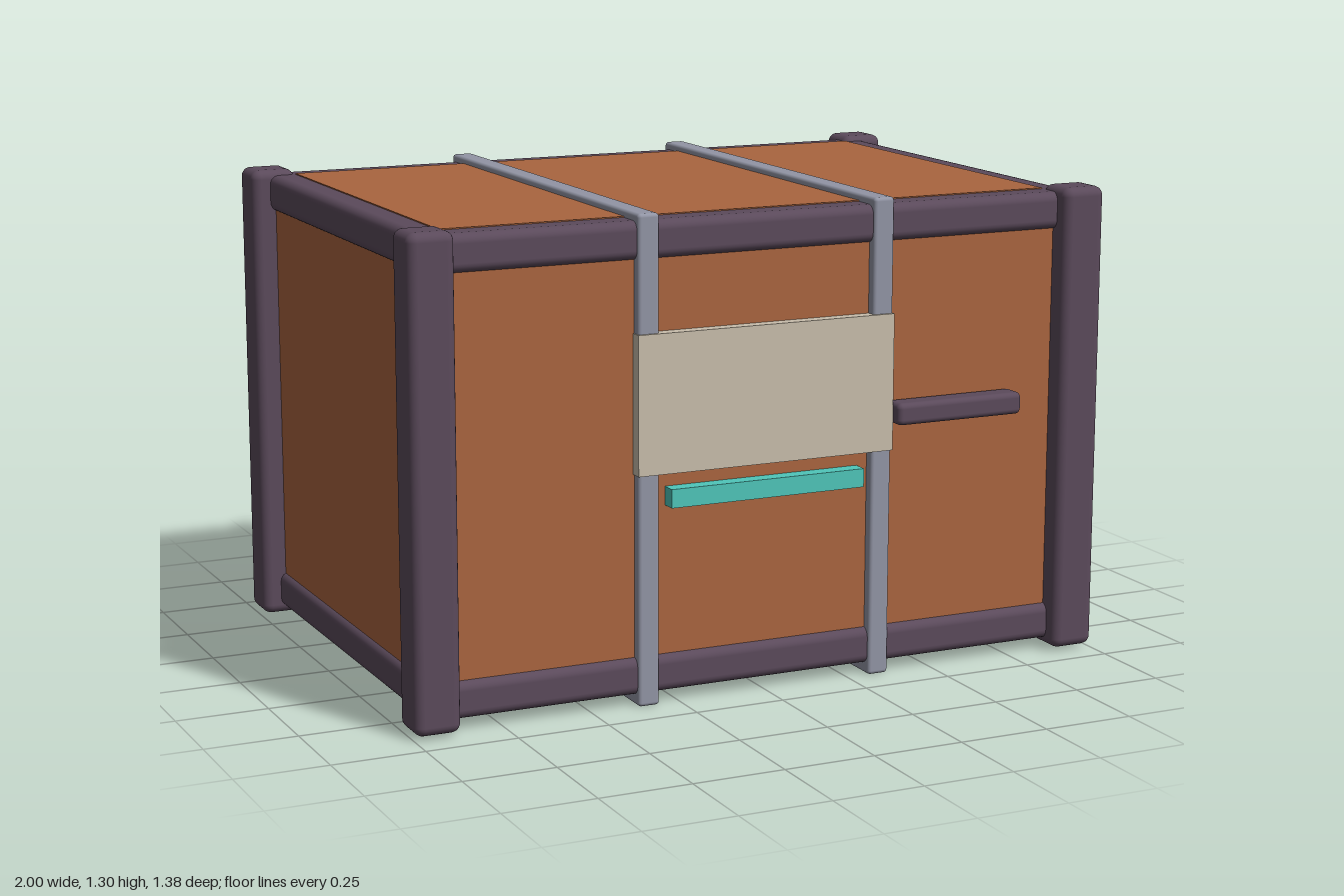
import * as THREE from 'three';
import { RoundedBoxGeometry } from 'three/addons/geometries/RoundedBoxGeometry.js';

const mat = (name, color) => {
  const m = new THREE.MeshStandardMaterial({ color });
  m.name = name;
  return m;
};

export function createModel() {
  const wood = mat('rust brown panel', 0xa9653f);
  const frame = mat('dark plum frame', 0x5b4a5b);
  const metal = mat('grey strap', 0x9295a5);
  const cream = mat('cream plate', 0xc8bdab);
  const teal = mat('teal light', 0x4fc5b9);

  const crate = new THREE.Group();
  crate.name = 'crate';

  // Box spanning [min, max] on each axis, with optional rounded edges
  const box = (name, material, [x0, x1], [y0, y1], [z0, z1], radius = 0) => {
    const size = [x1 - x0, y1 - y0, z1 - z0];
    const geometry = radius
      ? new RoundedBoxGeometry(...size, 3, radius)
      : new THREE.BoxGeometry(...size);
    const mesh = new THREE.Mesh(geometry, material);
    mesh.name = name;
    mesh.position.set((x0 + x1) / 2, (y0 + y1) / 2, (z0 + z1) / 2);
    crate.add(mesh);
  };

  // Body walls and the inset top panel
  box('body', wood, [-0.935, 0.935], [0.08, 1.23], [-0.625, 0.625]);
  box('topPanel', wood, [-0.875, 0.875], [1.2, 1.283], [-0.565, 0.565]);

  // Bottom and top frames
  box('bottomFrame', frame, [-0.95, 0.95], [0.03, 0.13], [-0.645, 0.645], 0.025);
  box('topFrame', frame, [-0.95, 0.95], [1.18, 1.28], [-0.645, 0.645], 0.025);

  // Corner posts
  for (const sx of [-1, 1]) {
    for (const sz of [-1, 1]) {
      const x = sx * 0.9375, z = sz * 0.625;
      box('cornerPost', frame, [x - 0.0625, x + 0.0625], [0.01, 1.295],
        [z - 0.0625, z + 0.0625], 0.025);
    }
  }

  // Two straps, each wrapped around all four sides
  for (const sx of [-1, 1]) {
    const x = [sx * 0.34 - 0.03, sx * 0.34 + 0.03];
    box('strapTop', metal, x, [1.265, 1.3], [-0.653, 0.653], 0.01);
    box('strapBottom', metal, x, [0, 0.035], [-0.653, 0.653], 0.01);
    box('strapFront', metal, x, [0, 1.3], [0.618, 0.653], 0.01);
    box('strapBack', metal, x, [0, 1.3], [-0.653, -0.618], 0.01);
  }

  // Front fittings
  box('frontPlate', cream, [-0.373, 0.37], [0.62, 0.99], [0.62, 0.66]);
  box('lightStrip', teal, [-0.283, 0.28], [0.53, 0.58], [0.62, 0.668]);
  box('latchHandle', frame, [0.37, 0.75], [0.69, 0.75], [0.62, 0.692], 0.015);

  crate.position.z = -0.003;
  const model = new THREE.Group();
  model.name = 'strappedCrate';
  model.add(crate);
  return model;
}
